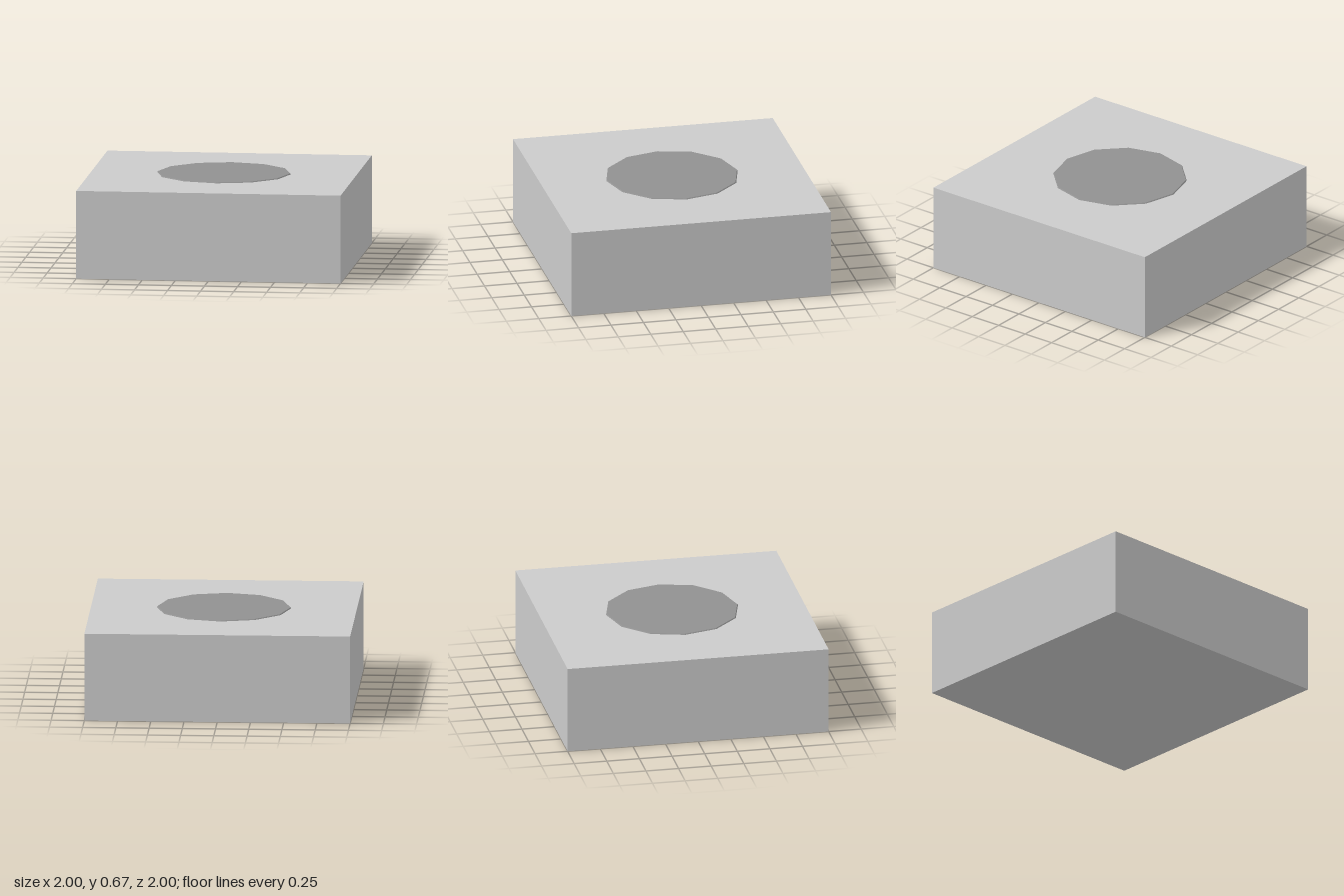
import * as THREE from 'three';

const BLOCK_HEIGHT = 0.667;
const DISC_HEIGHT = 0.007;

function addPart(group, name, geometry, color, y) {
  const material = new THREE.MeshStandardMaterial({ color, flatShading: true });
  const mesh = new THREE.Mesh(geometry, material);
  mesh.name = name;
  mesh.position.y = y;
  group.add(mesh);
}

export function createModel() {
  const group = new THREE.Group();
  group.name = 'blockWithDisc';

  // Square base block
  addPart(group, 'block', new THREE.BoxGeometry(2, BLOCK_HEIGHT, 2), 0xcccccc, BLOCK_HEIGHT / 2);

  // Thin twelve-sided disc lying on the top face
  addPart(group, 'topDisc', new THREE.CylinderGeometry(0.5, 0.506, DISC_HEIGHT, 12), 0x919191,
    BLOCK_HEIGHT + DISC_HEIGHT / 2);

  return group;
}
